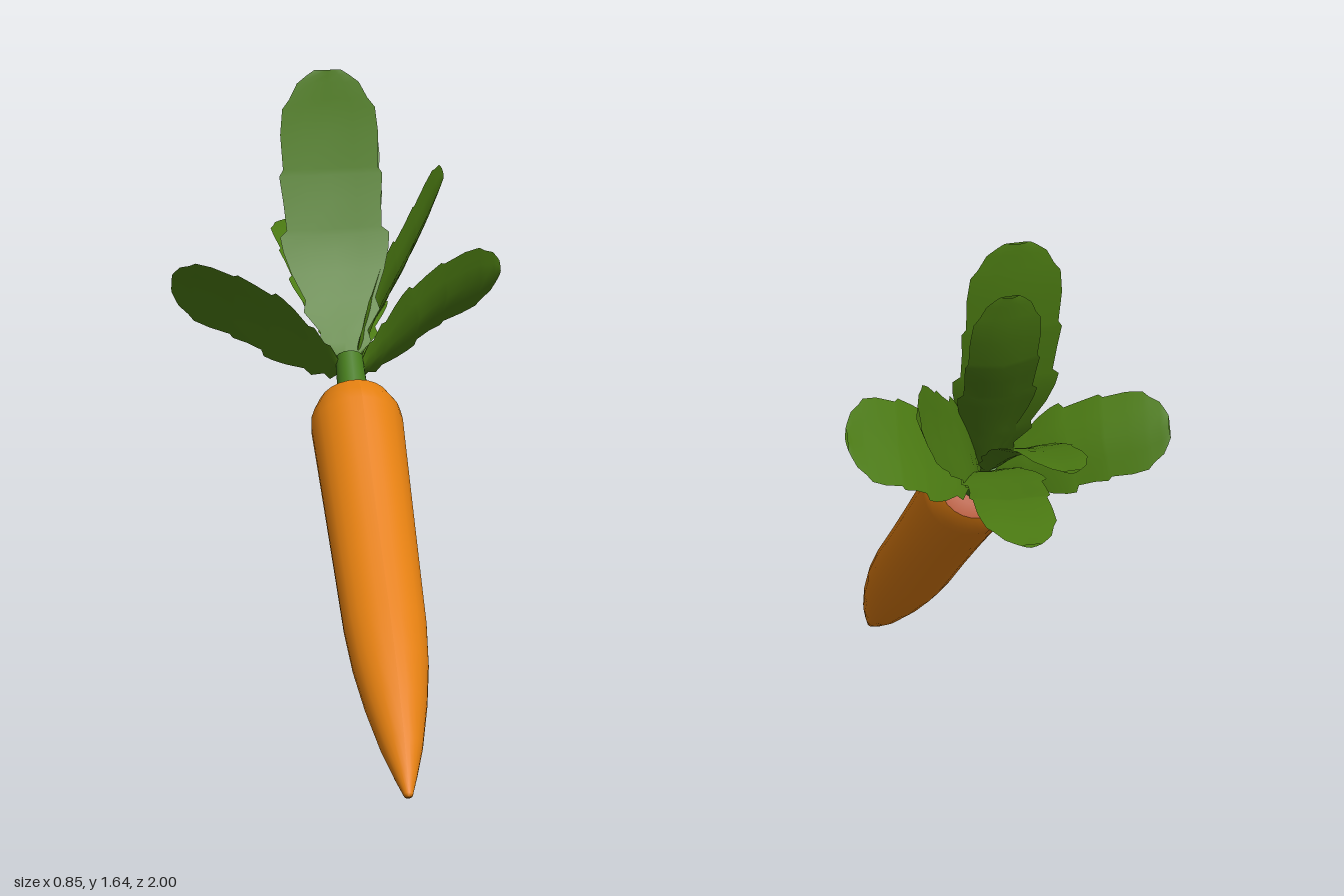
import * as THREE from 'three';

const V = (x, y, z) => new THREE.Vector3(x, y, z);
const mat = (name, color, side = THREE.FrontSide) => {
  const m = new THREE.MeshStandardMaterial({ color, side });
  m.name = name;
  return m;
};

// Toothed leaf outline: [fraction along the leaf, fraction of half width]
const OUTLINE = [
  [0, 0.12], [0.07, 0.2], [0.12, 0.5], [0.16, 0.46], [0.23, 0.74], [0.27, 0.68],
  [0.36, 0.9], [0.43, 1.02], [0.48, 1.06], [0.5, 0.92], [0.59, 0.95], [0.67, 1],
  [0.69, 0.92], [0.8, 0.95], [0.88, 0.9], [0.91, 0.76], [0.96, 0.6], [0.985, 0.4], [1, 0.26],
];

// Thin creased blade following a curve; the two faces meet in a sharp rim
function leafGeometry(points, halfWidth, across) {
  const curve = new THREE.CatmullRomCurve3(points.map((p) => V(...p)));
  const cols = [-1, -0.5, 0, 0.5, 1];
  const pos = [], idx = [];
  for (const face of [1, -1]) {
    const start = pos.length / 3;
    OUTLINE.forEach(([s, w], i) => {
      const c = curve.getPointAt(s), t = curve.getTangentAt(s);
      const side = across.clone().addScaledVector(t, -across.dot(t)).normalize();
      const normal = side.clone().cross(t).normalize();
      cols.forEach((u, j) => {
        const thick = 0.009 * (1 - u * u) * (1 - 0.5 * s);
        const fold = 0.014 * (Math.abs(u) - 0.5) * w;
        const p = c.clone().addScaledVector(side, u * w * halfWidth)
          .addScaledVector(normal, fold + face * thick);
        pos.push(p.x, p.y, p.z);
        if (i && j) {
          const d = start + i * cols.length + j, b = d - cols.length;
          const quad = [b - 1, b, d, b - 1, d, d - 1];
          idx.push(...(face > 0 ? quad : quad.reverse()));
        }
      });
    });
  }
  const g = new THREE.BufferGeometry();
  g.setAttribute('position', new THREE.Float32BufferAttribute(pos, 3));
  g.setIndex(idx);
  g.computeVertexNormals();
  return g;
}

export function createModel() {
  const orange = mat('carrotOrange', 0xe37f10);
  const rust = mat('crownRust', 0xb24a16);
  const green = mat('leafGreen', 0x4b7a12, THREE.DoubleSide);
  const stemGreen = mat('stemGreen', 0x457a1c);
  const model = new THREE.Group();
  model.name = 'carrot';
  const add = (parent, name, geometry, material) => {
    const m = new THREE.Mesh(geometry, material);
    m.name = name;
    parent.add(m);
    return m;
  };

  // Root, lying back along a tilted axis from its tip
  const root = new THREE.Group();
  root.name = 'root';
  root.position.set(-0.05, 0.004, 0.995);
  root.quaternion.setFromUnitVectors(V(0, 1, 0), V(0.04, 0.82, -1.12).normalize());
  model.add(root);
  const profile = [[0, 0], [0.012, 0.005], [0.03, 0.07], [0.055, 0.17], [0.082, 0.32], [0.1, 0.46],
    [0.109, 0.6], [0.112, 0.8], [0.115, 1], [0.118, 1.2], [0.12, 1.31], [0.116, 1.345], [0.094, 1.39]];
  const body = new THREE.LatheGeometry(profile.map(([r, y]) => new THREE.Vector2(r, y)), 24);
  const p = body.attributes.position;
  for (let i = 0; i < p.count; i++) {
    // slightly flattened in the middle of its length
    const k = Math.sin(Math.PI * Math.min(1, p.getY(i) / 1.39));
    p.setZ(i, p.getZ(i) * (1 - 0.19 * k));
  }
  body.computeVertexNormals();
  add(root, 'rootBody', body, orange);

  // Crown disc on the cut end
  const crown = [[0.094, 1.39], [0.06, 1.4], [0, 1.402]];
  add(root, 'crown', new THREE.LatheGeometry(crown.map(([r, y]) => new THREE.Vector2(r, y)), 24), rust);

  // Short stem
  const from = V(-0.01, 0.82, -0.125), to = V(-0.005, 0.925, -0.235);
  const stem = add(model, 'stem', new THREE.CylinderGeometry(0.036, 0.042, from.distanceTo(to), 12), stemGreen);
  stem.position.copy(from).lerp(to, 0.5);
  stem.quaternion.setFromUnitVectors(V(0, 1, 0), to.clone().sub(from).normalize());

  // Leaves: name, centre line, half width, direction across the blade
  const flat = V(1, 0, 0), upright = V(0, 0.81, 0.59);
  const leaves = [
    ['tallFrontLeaf', [[-0.01, 0.88, -0.2], [-0.015, 1.12, -0.36], [-0.02, 1.37, -0.45], [-0.02, 1.635, -0.5]], 0.135, flat],
    ['tallBackLeaf', [[0, 0.88, -0.21], [0.01, 1.13, -0.39], [0.03, 1.35, -0.55], [0.04, 1.545, -0.64]], 0.1, flat],
    ['upperLeftLeaf', [[0, 0.89, -0.21], [0.08, 1.02, -0.38], [0.2, 1.15, -0.57], [0.325, 1.29, -0.78]], 0.115, upright],
    ['middleBackLeaf', [[0, 0.89, -0.22], [-0.02, 1.01, -0.4], [-0.035, 1.1, -0.6], [-0.04, 1.145, -0.78], [-0.045, 1.16, -0.93]], 0.08, flat],
    ['lowBackLeaf', [[0, 0.88, -0.22], [0.02, 0.97, -0.42], [0.05, 1.01, -0.65], [0.08, 1.025, -0.8], [0.085, 0.995, -1]], 0.105, flat],
    ['leftLeaf', [[0, 0.89, -0.2], [0.1, 0.95, -0.29], [0.25, 1.05, -0.37], [0.42, 1.11, -0.43]], 0.125, upright],
    ['rightLeaf', [[-0.01, 0.89, -0.2], [-0.1, 0.945, -0.3], [-0.25, 1.03, -0.41], [-0.425, 1.085, -0.51]], 0.115, upright],
  ];
  for (const [name, points, half, across] of leaves) add(model, name, leafGeometry(points, half, across), green);
  return model;
}
